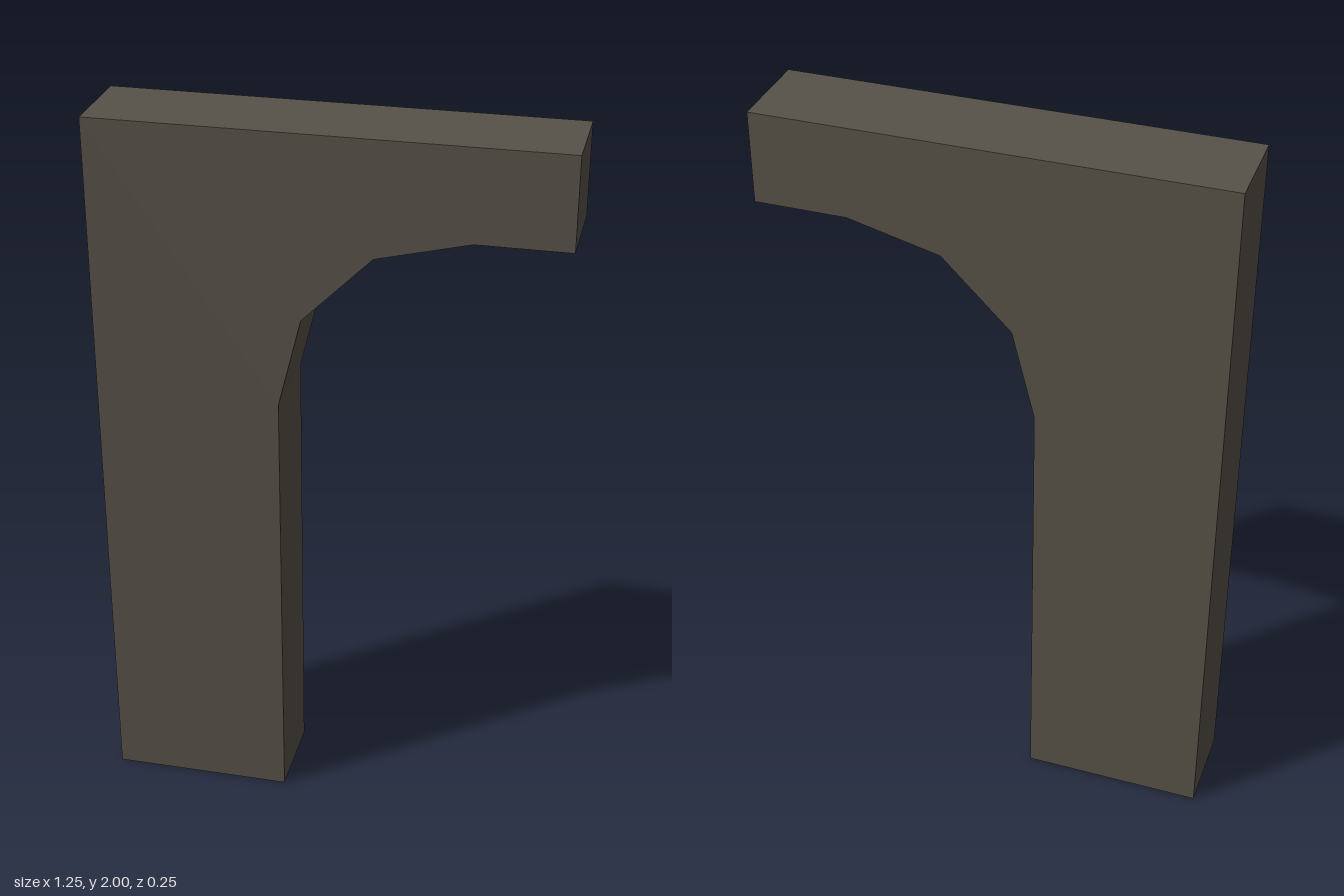
import * as THREE from 'three';

const DEPTH = 0.25;

export function createModel() {
  const group = new THREE.Group();
  group.name = 'archBracket';

  const stone = new THREE.MeshStandardMaterial({ color: 0x585248 });
  stone.name = 'darkStone';
  stone.flatShading = true;

  // Half-arch outline: post, faceted inner curve, short overhanging beam
  const outline = new THREE.Shape([
    [-0.625, 0], [-0.125, 0],
    [-0.125, 1.25], [-0.0625, 1.5], [0.125, 1.6875], [0.375, 1.75],
    [0.625, 1.75], [0.625, 2], [-0.625, 2],
  ].map(([x, y]) => new THREE.Vector2(x, y)));

  const geometry = new THREE.ExtrudeGeometry(outline, { depth: DEPTH, bevelEnabled: false });
  geometry.translate(0, 0, -DEPTH / 2);

  const arch = new THREE.Mesh(geometry, stone);
  arch.name = 'halfArch';
  group.add(arch);
  return group;
}
